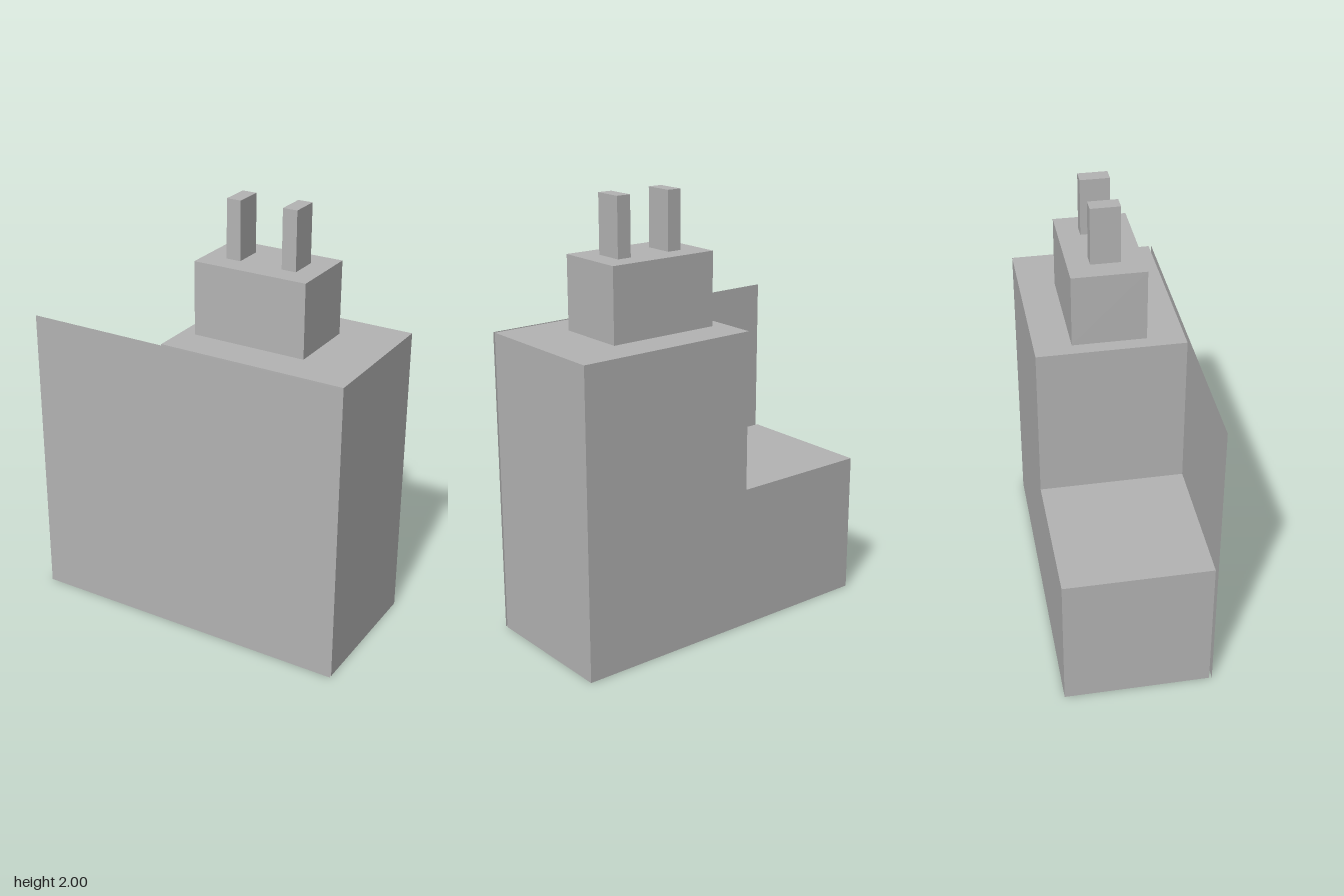
import * as THREE from 'three';

const grey = new THREE.MeshStandardMaterial({ color: 0xb4b4b4 });
grey.name = 'grey';
grey.side = THREE.DoubleSide;

// Box given by its minimum and maximum corners
function block(name, [x0, y0, z0], [x1, y1, z1]) {
  const mesh = new THREE.Mesh(new THREE.BoxGeometry(x1 - x0, y1 - y0, z1 - z0), grey);
  mesh.position.set((x0 + x1) / 2, (y0 + y1) / 2, (z0 + z1) / 2);
  mesh.name = name;
  return mesh;
}

export function createModel() {
  const model = new THREE.Group();
  model.name = 'steppedBlock';

  const W = 0.767, H = 1.4, back = -0.34, front = 0.327, panelZ = 0.34;

  // L-shaped body: tall on the +x side, low step on the -x side
  const profile = new THREE.Shape([
    [-W, 0], [W, 0], [W, H], [-0.1, H], [-0.1, 0.667], [-W, 0.667],
  ].map(([x, y]) => new THREE.Vector2(x, y)));
  const body = new THREE.Mesh(
    new THREE.ExtrudeGeometry(profile, { depth: front - back, bevelEnabled: false }), grey);
  body.position.z = back;
  body.name = 'body';
  model.add(body);

  // Flat sheet standing just in front of the body
  const panel = new THREE.Mesh(new THREE.PlaneGeometry(2 * W, H), grey);
  panel.position.set(0, H / 2, panelZ);
  panel.name = 'frontPanel';
  model.add(panel);

  // Upper block and its two posts
  model.add(block('upperBlock', [-0.035, H, -0.173], [0.498, 1.735, 0.16]));
  for (const [name, x] of [['rightPost', 0.065], ['leftPost', 0.332]]) {
    model.add(block(name, [x, 1.735, -0.073], [x + 0.067, 2, 0.06]));
  }
  return model;
}
